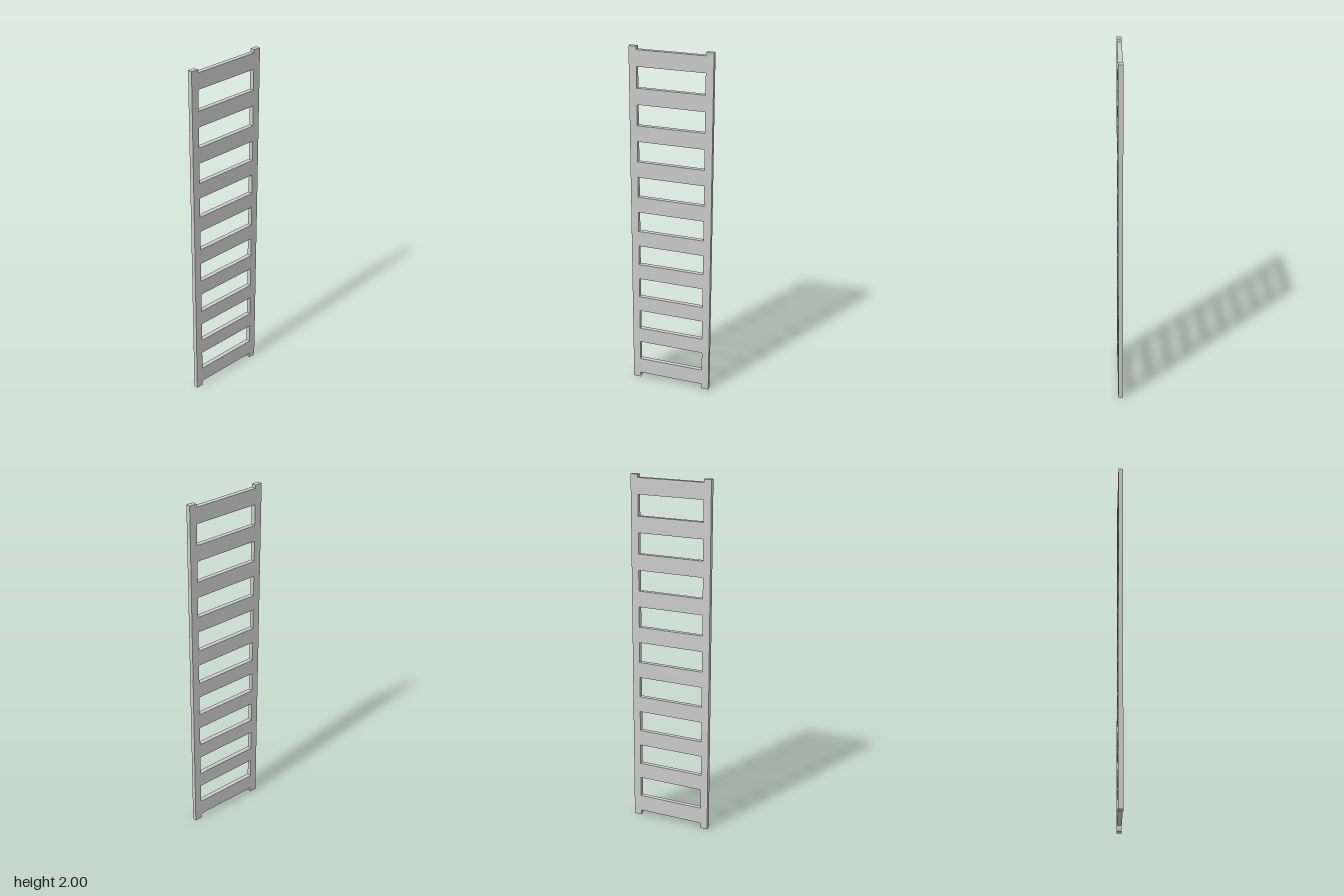
import * as THREE from 'three';

const HALF_WIDTH = 0.232, INNER = 0.19, HEIGHT = 2, DEPTH = 0.026;
const RUNGS = 10, PITCH = 0.2065, RUNG_HEIGHT = 0.09, FIRST_RUNG = 0.034;

export function createModel() {
  const group = new THREE.Group();
  group.name = 'ladder';

  // Outline: two rails standing slightly proud of the first and last rungs
  const low = 0.03;
  const high = FIRST_RUNG + (RUNGS - 1) * PITCH + RUNG_HEIGHT;
  const outline = [
    [-HALF_WIDTH, 0], [-INNER, 0], [-INNER, low], [INNER, low], [INNER, 0], [HALF_WIDTH, 0],
    [HALF_WIDTH, HEIGHT], [INNER, HEIGHT], [INNER, high], [-INNER, high], [-INNER, HEIGHT], [-HALF_WIDTH, HEIGHT],
  ];
  const shape = new THREE.Shape(outline.map(([x, y]) => new THREE.Vector2(x, y)));

  // Openings between neighbouring rungs
  for (let i = 0; i < RUNGS - 1; i++) {
    const bottom = FIRST_RUNG + i * PITCH + RUNG_HEIGHT;
    const top = FIRST_RUNG + (i + 1) * PITCH;
    const hole = new THREE.Path();
    hole.moveTo(-INNER, bottom);
    hole.lineTo(-INNER, top);
    hole.lineTo(INNER, top);
    hole.lineTo(INNER, bottom);
    hole.closePath();
    shape.holes.push(hole);
  }

  // Rails and rungs are flush, so they form a single flat plate
  const geometry = new THREE.ExtrudeGeometry(shape, { depth: DEPTH, bevelEnabled: false });
  geometry.translate(0, 0, -DEPTH / 2);
  const frame = new THREE.Mesh(geometry, new THREE.MeshStandardMaterial({ color: 0xcccccc }));
  frame.name = 'railsAndRungs';
  group.add(frame);
  return group;
}
